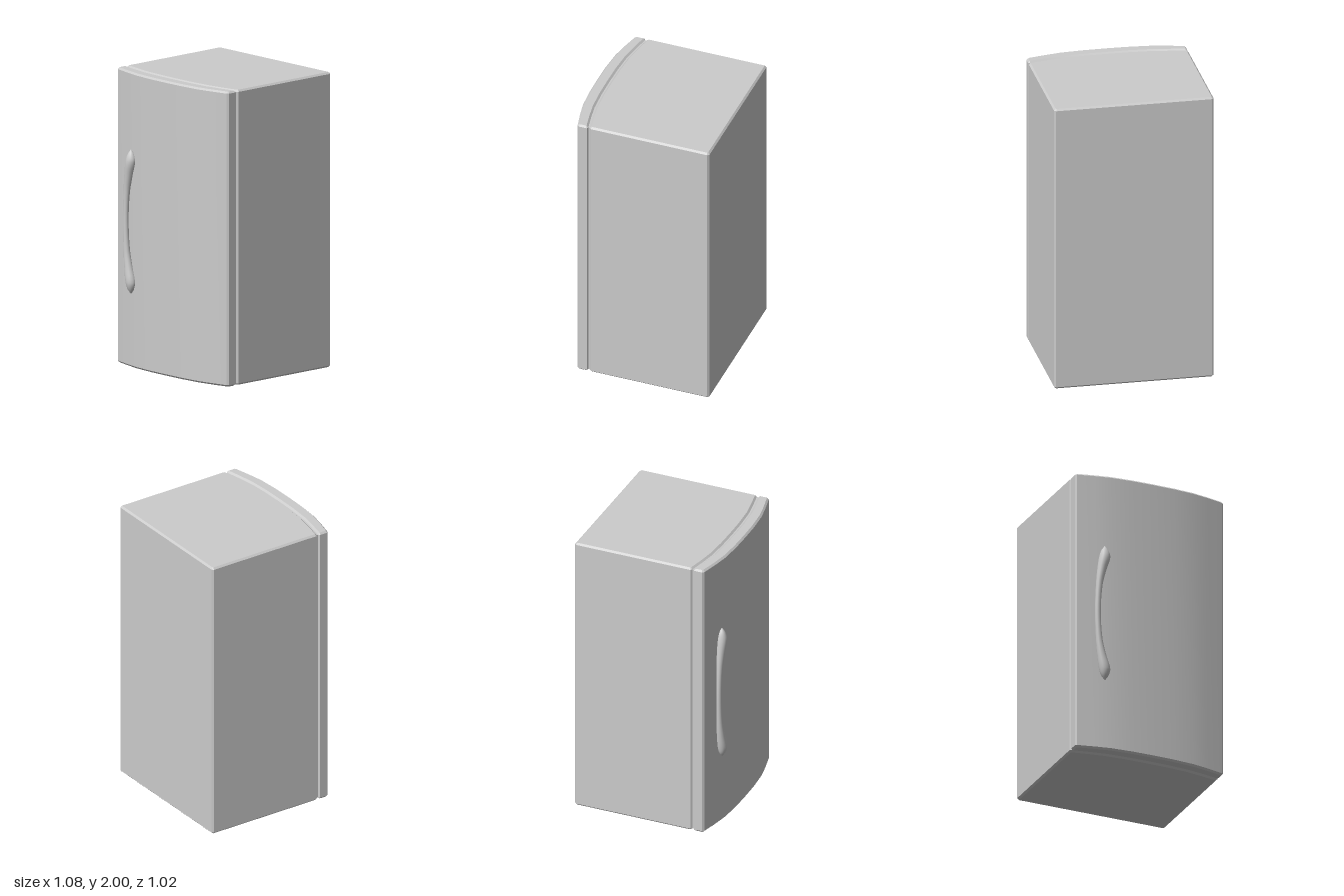
import * as THREE from 'three';
import { toCreasedNormals } from 'three/addons/utils/BufferGeometryUtils.js';

const HALF = 0.54, HEIGHT = 2, CHAMFER = 0.012;
// half of the bowed front: [x, how far it falls back from the middle]
const BOW = [[0, 0], [0.15, 0.002], [0.3, 0.013], [0.41, 0.034]];
const EDGE_DROP = 0.062;

const material = new THREE.MeshStandardMaterial({ color: 0xcccccc });

// bowed line from left (+x) to right (-x), ending at half width w
function bowLine(z, scale, w) {
  const half = [...BOW, [w, EDGE_DROP]];
  const right = half.slice(1).map(([x, d]) => [-x, z - d * scale]);
  return [...half.reverse().map(([x, d]) => [x, z - d * scale]), ...right];
}

// upright slab with a plan outline of [x, z] points and chamfered top and bottom
function slab(name, outline, chamfer, inset = 0) {
  const shape = new THREE.Shape(outline.map(([x, z]) => new THREE.Vector2(x, -z)));
  const geometry = new THREE.ExtrudeGeometry(shape, {
    depth: HEIGHT - 2 * (chamfer + inset),
    bevelEnabled: chamfer > 0,
    bevelThickness: chamfer,
    bevelSize: chamfer,
    bevelOffset: -chamfer,
    bevelSegments: 1,
  });
  geometry.rotateX(-Math.PI / 2);
  geometry.translate(0, chamfer + inset, 0);
  const mesh = new THREE.Mesh(toCreasedNormals(geometry, 0.35), material);
  mesh.name = name;
  return mesh;
}

// bowed bar: round sections along a curve holding (centre x, y, radius)
function handle() {
  const upper = [[-0.4, 0, 0.02], [-0.39, 0.2, 0.023], [-0.372, 0.31, 0.031],
    [-0.35, 0.41, 0.038], [-0.349, 0.455, 0.025], [-0.349, 0.49, 0.001]];
  const keys = [...upper.slice(1).reverse().map(([x, y, r]) => [x, -y, r]), ...upper];
  const curve = new THREE.CatmullRomCurve3(
    keys.map(([x, y, r]) => new THREE.Vector3(x, y + 0.99, r)));
  const rings = 40, sides = 14, positions = [], index = [];
  for (let i = 0; i <= rings; i++) {
    const p = curve.getPoint(i / rings);
    const r = Math.max(p.z, 0.001);
    for (let j = 0; j < sides; j++) {
      const a = (j / sides) * Math.PI * 2;
      positions.push(p.x + r * Math.cos(a), p.y, 0.475 - 0.92 * r * Math.sin(a));
      if (i < rings) {
        const k = i * sides + j, n = i * sides + ((j + 1) % sides);
        index.push(k, n, n + sides, k, n + sides, k + sides);
      }
    }
  }
  const geometry = new THREE.BufferGeometry();
  geometry.setAttribute('position', new THREE.Float32BufferAttribute(positions, 3));
  geometry.setIndex(index);
  geometry.computeVertexNormals();
  const mesh = new THREE.Mesh(geometry, material);
  mesh.name = 'handle';
  return mesh;
}

export function createModel() {
  const group = new THREE.Group();
  group.name = 'refrigerator';
  const c = CHAMFER, w = HALF, back = -0.51;

  // cabinet, with chamfered corners
  group.add(slab('cabinet', [
    [w - c, back], [w, back + c], [w, 0.329],
    ...bowLine(0.392, 0.85, w - c),
    [-w, 0.329], [-w, back + c], [-w + c, back],
  ], c));

  // seal, set back in the gap between cabinet and door
  group.add(slab('seal', [
    ...bowLine(0.375, 0.85, w - c),
    ...bowLine(0.42, 0.85, w - c).reverse(),
  ], 0, c));

  // door, bowed at the front and back
  group.add(slab('door', [
    ...bowLine(0.488, 1, w - c),
    [-w, 0.414], [-w, 0.356],
    ...bowLine(0.403, 0.85, w - c).reverse(),
    [w, 0.356], [w, 0.414],
  ], c));

  group.add(handle());
  return group;
}
